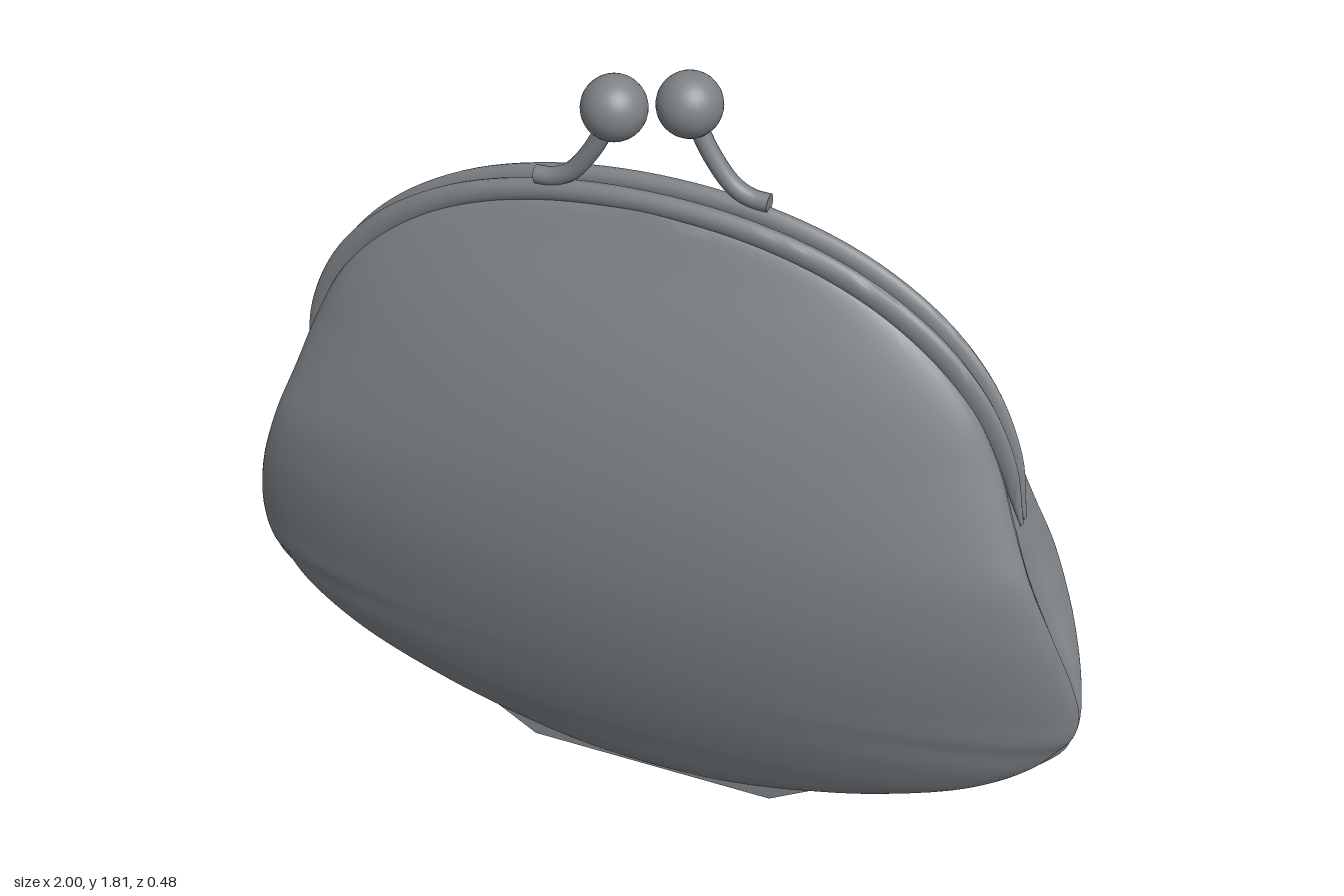
import * as THREE from 'three';
import { toCreasedNormals } from 'three/addons/utils/BufferGeometryUtils.js';

const V = (x, y, z) => new THREE.Vector3(x, y, z);
const curve = (pts) => new THREE.CatmullRomCurve3(pts.map((p) => V(...p)));

// Skin a list of closed rings that all have the same number of points
function loft(rings, crease) {
  const n = rings[0].length, index = [];
  for (let i = 0; i < rings.length - 1; i++) {
    for (let j = 0; j < n; j++) {
      const a = i * n + j, b = i * n + (j + 1) % n;
      index.push(a, a + n, b, b, a + n, b + n);
    }
  }
  const geo = new THREE.BufferGeometry().setFromPoints(rings.flat());
  geo.setIndex(index);
  return toCreasedNormals(geo, crease);
}

// Pouch half: half width, height, depth at each level
const outline = curve([
  [0, 0.002, 0.002], [0.2, 0.012, 0.012], [0.42, 0.06, 0.038], [0.58, 0.11, 0.062],
  [0.78, 0.2, 0.105], [0.91, 0.3, 0.145], [0.985, 0.4, 0.178], [1, 0.47, 0.197],
  [0.985, 0.57, 0.219], [0.945, 0.7, 0.237], [0.89, 0.84, 0.241], [0.84, 0.96, 0.234],
  [0.785, 1.1, 0.211], [0.72, 1.22, 0.178], [0.62, 1.33, 0.138], [0.48, 1.43, 0.095],
  [0.3, 1.5, 0.066], [0, 1.54, 0.048],
]);
// Side fold at the same levels: inset, edge depth, inner wall depth
const fold = curve([
  [0, 0, 0], [0, 0, 0], [0, 0, 0], [0, 0, 0],
  [0, 0, 0], [0, 0, 0], [0, 0, 0], [0.002, 0.004, 0.001],
  [0.025, 0.03, 0.001], [0.055, 0.065, 0.001], [0.055, 0.085, 0.002], [0.035, 0.07, 0.003],
  [0.02, 0.045, 0.006], [0.012, 0.038, 0.01], [0.01, 0.036, 0.014], [0.01, 0.036, 0.017],
  [0.01, 0.037, 0.019], [0, 0.038, 0.02],
]);

function pouchGeometry() {
  const rings = [], rows = 85, cols = 56;
  for (let i = 0; i <= rows; i++) {
    const { x: w, y, z: d } = outline.getPoint(i / rows);
    const { x: g, y: e, z: inner } = fold.getPoint(i / rows);
    const ring = [];
    for (let j = 0; j <= cols; j++) {
      const a = (j / cols) * Math.PI;
      const bulge = Math.pow(Math.max(0, Math.sin(a)), 1.2);
      ring.push(V(w * Math.cos(a), y, e + (d - e) * bulge));
    }
    const mid = inner + 0.45 * (e - inner);
    const xm = Math.max(0, w - 0.4 * g), xi = Math.max(0, w - g);
    ring.push(V(-xm, y, mid), V(-xi, y, inner), V(xi, y, inner), V(xm, y, mid));
    rings.push(ring);
  }
  return loft(rings, 0.9);
}

// Mirror the right half of an arch into a full curve
const arch = (half) => curve([...half, ...half.slice(0, -1).reverse().map(([x, y, z]) => [-x, y, z])]);

function frameGeometry() {
  const outer = arch([[0.838, 0.955, 0.012], [0.815, 1.1, 0.02], [0.745, 1.25, 0.026],
    [0.625, 1.38, 0.03], [0.45, 1.485, 0.033], [0.24, 1.547, 0.035], [0, 1.568, 0.036]]);
  const inner = arch([[0.832, 0.95, 0.012], [0.765, 1.1, 0.02], [0.69, 1.228, 0.026],
    [0.585, 1.34, 0.03], [0.425, 1.437, 0.033], [0.23, 1.497, 0.035], [0, 1.518, 0.036]]);
  const rings = [], rows = 72, sides = 14;
  for (let i = 0; i <= rows; i++) {
    const o = outer.getPoint(i / rows), n = inner.getPoint(i / rows);
    const centre = o.clone().add(n).multiplyScalar(0.5);
    const reach = o.clone().sub(n).multiplyScalar(0.5);
    const thick = 0.008 + 0.012 * Math.sin((i / rows) * Math.PI);
    const ring = [];
    for (let j = 0; j < sides; j++) {
      const b = (j / sides) * Math.PI * 2;
      const p = centre.clone().addScaledVector(reach, Math.cos(b));
      p.z += thick * Math.sin(b);
      ring.push(p);
    }
    rings.push(ring);
  }
  return loft(rings, 0.8);
}

export function createModel() {
  const grey = new THREE.MeshStandardMaterial({ color: 0x7d8286 });
  grey.name = 'slate grey';
  const model = new THREE.Group();
  model.name = 'coinPurse';

  const add = (parent, name, geo, pos = [0, 0, 0]) => {
    const mesh = new THREE.Mesh(geo, grey);
    mesh.name = name;
    mesh.position.set(...pos);
    parent.add(mesh);
  };

  const pouch = pouchGeometry(), frame = frameGeometry();
  const knob = new THREE.SphereGeometry(0.069, 32, 20);

  // Curved stem from the frame up to the knob
  const stemPath = curve([[-0.243, 1.557, 0.036], [-0.205, 1.56, 0.036], [-0.165, 1.58, 0.036],
    [-0.12, 1.635, 0.036], [-0.085, 1.7, 0.036], [-0.068, 1.74, 0.036]]);
  const stem = new THREE.TubeGeometry(stemPath, 28, 0.02, 14);
  const stemEnd = new THREE.CircleGeometry(0.02, 14).rotateY(-Math.PI / 2);

  // The back half is the front half turned round
  ['front', 'back'].forEach((side, i) => {
    const half = new THREE.Group();
    half.name = side + 'Half';
    half.rotation.y = i * Math.PI;
    add(half, side + 'Pouch', pouch);
    add(half, side + 'Frame', frame);
    add(half, side + 'ClaspStem', stem);
    add(half, side + 'ClaspStemEnd', stemEnd, [-0.243, 1.557, 0.036]);
    add(half, side + 'ClaspKnob', knob, [-0.067, 1.745, 0.036]);
    model.add(half);
  });

  // Thin seam tab along the bottom
  const tab = new THREE.Shape([[-0.41, 0.065], [-0.3, 0], [0.3, 0], [0.41, 0.065], [0.28, 0.036], [-0.28, 0.036]]
    .map(([x, y]) => new THREE.Vector2(x, y)));
  add(model, 'bottomSeam', new THREE.ExtrudeGeometry(tab, { depth: 0.016, bevelEnabled: false }), [0, 0, -0.008]);
  return model;
}
